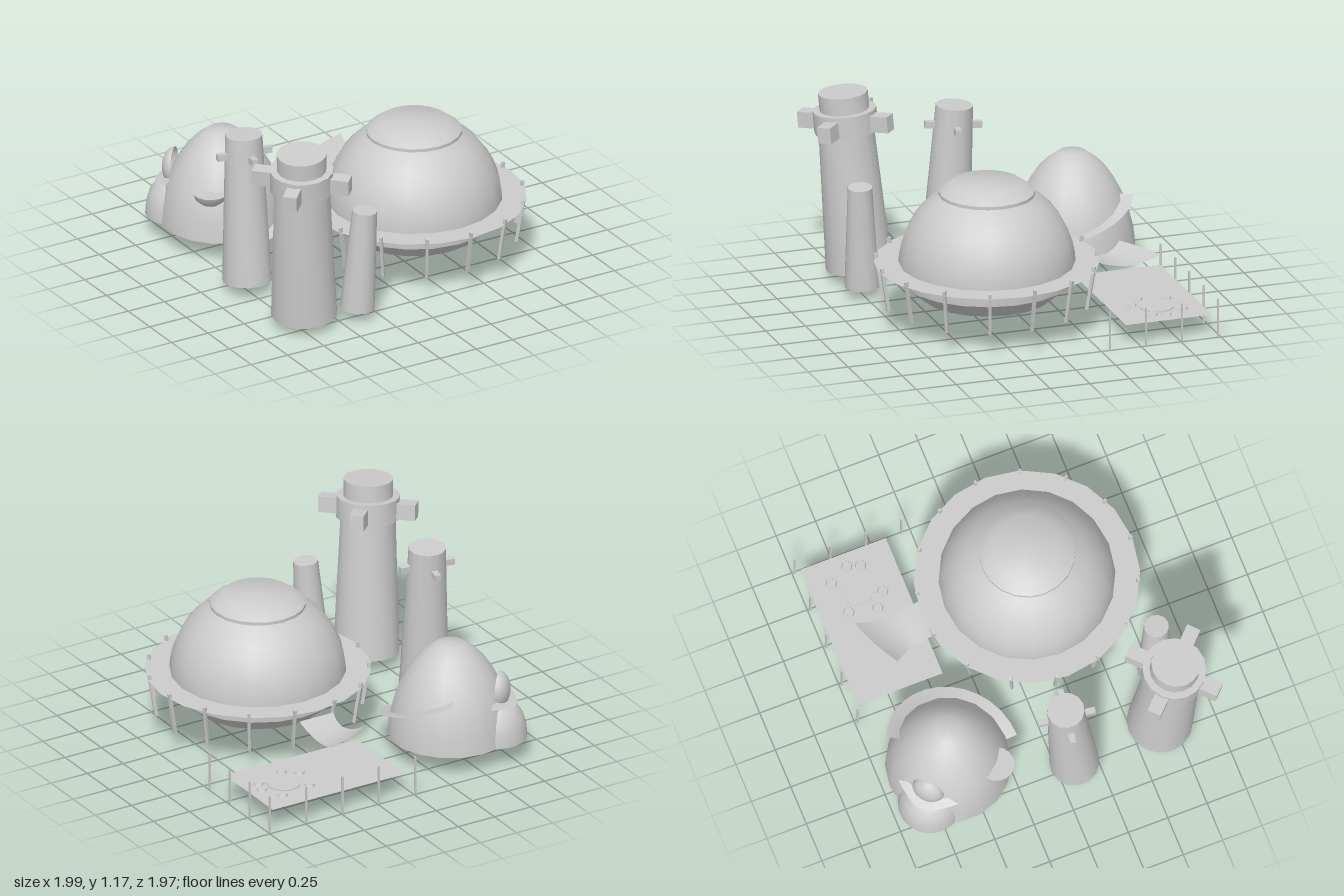
import * as THREE from 'three';
import { toCreasedNormals } from 'three/addons/utils/BufferGeometryUtils.js';
import { ParametricGeometry } from 'three/addons/geometries/ParametricGeometry.js';

const grey = new THREE.MeshStandardMaterial({ color: 0xcccccc, side: THREE.DoubleSide });

function add(parent, name, geometry, x = 0, y = 0, z = 0) {
  const mesh = new THREE.Mesh(geometry, grey);
  mesh.name = name;
  mesh.position.set(x, y, z);
  parent.add(mesh);
  return mesh;
}

function group(parent, name, x = 0, y = 0, z = 0) {
  const g = new THREE.Group();
  g.name = name;
  g.position.set(x, y, z);
  parent.add(g);
  return g;
}

// Turned shell from [radius, height] pairs, bottom to top
const turned = (pairs, sides, crease = 0.6, start = 0, sweep = Math.PI * 2) =>
  toCreasedNormals(new THREE.LatheGeometry(pairs.map(([r, y]) => new THREE.Vector2(r, y)), sides, start, sweep), crease);

const sheet = (fn, nu, nv) => new ParametricGeometry((u, v, p) => p.set(...fn(u, v)), nu, nv);

// Boxes arranged radially around a vertical axis
function spokes(parent, name, count, radius, y, size, offset) {
  for (let i = 0; i < count; i++) {
    const a = offset + (i / count) * Math.PI * 2;
    const box = add(parent, name, new THREE.BoxGeometry(...size), Math.sin(a) * radius, y, Math.cos(a) * radius);
    box.rotation.y = a;
  }
}

// Leaning tower: group whose y axis runs from base to top, open at the bottom
function tower(parent, name, base, top, r0, r1, sides) {
  const b = new THREE.Vector3(...base), axis = new THREE.Vector3(...top).sub(b);
  const g = group(parent, name, ...base);
  const h = axis.length();
  g.quaternion.setFromUnitVectors(new THREE.Vector3(0, 1, 0), axis.normalize());
  add(g, name + 'Shaft', turned([[r0, 0], [r1, h], [0, h]], sides));
  return g;
}

function mainHall(parent) {
  const g = group(parent, 'mainHall', 0.33, 0, 0.23);

  // Spherical dome on a tapered, open hull
  const profile = [[0.39, 0.19], [0.518, 0.295]];
  for (let i = 1; i <= 8; i++) {
    const a = -0.16 + (i / 8) * 1.17;
    profile.push([0.525 * Math.cos(a), 0.38 + 0.525 * Math.sin(a)]);
  }
  add(g, 'dome', turned(profile, 20, 0.5));
  add(g, 'domeCap', turned([[0.285, 0.81], [0.285, 0.84], [0.21, 0.895], [0, 0.897]], 20, 0.8));

  // Flat walkway carried by posts that splay out towards the top
  const walk = add(g, 'walkway', new THREE.RingGeometry(0.51, 0.67, 20, 1), 0, 0.4, 0);
  walk.rotation.x = -Math.PI / 2;
  for (let i = 0; i < 15; i++) {
    const pivot = group(g, 'walkwaySupport');
    pivot.rotation.y = (i / 15) * Math.PI * 2;
    const post = add(pivot, 'walkwayPost', new THREE.BoxGeometry(0.017, 0.275, 0.02), 0, 0.295, 0.638);
    post.rotation.x = 0.16;
  }
}

function rearDome(parent) {
  const g = group(parent, 'rearDome', -0.497, 0, -0.598);
  add(g, 'rearDomeShell', turned([[0.373, 0.125], [0.362, 0.235], [0.335, 0.345], [0.305, 0.43],
    [0.26, 0.515], [0.21, 0.59], [0.155, 0.65], [0.085, 0.703], [0, 0.708]], 18, 0.7));

  // Ramp climbing around the shell
  add(g, 'spiralRamp', sheet((u, v) => {
    const a = 0.04 + u * 2.6, outer = 0.445 - 0.08 * u * u, inner = 0.36 - 0.08 * u;
    const r = inner + (outer - inner) * v;
    return [r * Math.sin(a), 0.125 + 0.33 * u, r * Math.cos(a)];
  }, 14, 1));

  // Side balcony: half bowl with a flat floor
  const bowl = [[0, -0.08], [0.055, -0.068], [0.09, -0.04], [0.106, 0], [0, 0]];
  add(g, 'balcony', turned(bowl, 14, 0.8), -0.213, 0.43, 0.225);

  // Annex: half shells against the dome, with an egg-shaped lantern and a curved visor
  const annex = group(g, 'annex', -0.193, 0, -0.192);
  annex.rotation.y = Math.atan2(-0.193, -0.192);
  add(annex, 'annexShell', turned([[0.19, 0.125], [0.185, 0.2], [0.165, 0.27], [0.12, 0.335],
    [0.06, 0.37], [0, 0.38]], 10, 0.8, -Math.PI / 2, Math.PI));
  const egg = add(annex, 'lantern', new THREE.SphereGeometry(1, 10, 10, 0, Math.PI), 0, 0.43, 0.02);
  egg.scale.set(0.1, 0.115, 0.07);
  add(annex, 'visor', sheet((u, v) => {
    const t = u * 2 - 1, a = t * 1.45, r = 0.08 + (0.05 + 0.065 * t ** 4) * v;
    return [r * Math.sin(a), 0.365 + 0.035 * t * t - 0.02 * v, r * Math.cos(a)];
  }, 14, 2));
}

function terrace(parent) {
  const g = group(parent, 'terrace');
  const deck = add(g, 'terraceDeck', new THREE.PlaneGeometry(0.915, 0.54), 0.498, 0.13, -0.69);
  deck.rotation.x = -Math.PI / 2;
  add(g, 'roundTable', new THREE.CylinderGeometry(0.102, 0.102, 0.012, 12), 0.717, 0.13, -0.695);

  // Hexagonal stools around the centre
  const stools = [[0.6, -0.795], [0.805, -0.825], [0.873, -0.7], [0.847, -0.623], [0.65, -0.56], [0.565, -0.625]];
  for (const [x, z] of stools)
    add(g, 'stool', toCreasedNormals(new THREE.CylinderGeometry(0.03, 0.04, 0.022, 6), 0.3), x, 0.133, z);

  // Thin poles along the back and the left side
  const poles = [];
  for (let i = 0; i < 5; i++) poles.push([-0.018 + i * 0.2525, -0.984]);
  for (let i = 1; i < 4; i++) poles.push([0.992, -0.984 + i * 0.226]);
  for (const [x, z] of poles) add(g, 'pole', new THREE.BoxGeometry(0.011, 0.24, 0.011), x, 0.12, z);

  // Sagging cloth awning between the hall and the terrace
  add(g, 'awning', sheet((u, v) => {
    const sag = 4 * v * (1 - v);
    const left = 0.205 - 0.07 * v + 0.03 * sag, right = 0.44 + 0.01 * v - 0.012 * sag;
    const z = -0.42 - v * (0.25 + 0.145 * u) - 0.06 * v * u * (1 - u);
    return [left + (right - left) * u, 0.35 - 0.05 * sag, z];
  }, 8, 10));
}

function towers(parent) {
  // Great tower with a collar, four square lookouts and a drum on top
  const great = tower(parent, 'greatTower', [-0.69, 0.07, 0.67], [-0.741, 0.93, 0.732], 0.197, 0.165, 16);
  add(great, 'collar', turned([[0.16, 0.85], [0.19, 0.85], [0.19, 0.985], [0, 0.985]], 16));
  spokes(great, 'lookout', 4, 0.23, 0.91, [0.085, 0.098, 0.13], Math.PI / 4);
  add(great, 'drum', turned([[0.148, 0.98], [0.148, 1.09], [0, 1.09]], 16));

  // Slim tower with four small brackets
  const slim = tower(parent, 'slimTower', [-0.745, 0.07, 0.107], [-0.737, 0.995, 0.055], 0.148, 0.111, 14);
  spokes(slim, 'bracket', 4, 0.14, 0.805, [0.036, 0.04, 0.065], -0.15);

  // Short tower
  tower(parent, 'shortTower', [-0.38, 0.067, 0.762], [-0.342, 0.7, 0.787], 0.104, 0.074, 12);
}

export function createModel() {
  const model = new THREE.Group();
  model.name = 'domeSettlement';
  mainHall(model);
  rearDome(model);
  terrace(model);
  towers(model);
  return model;
}
